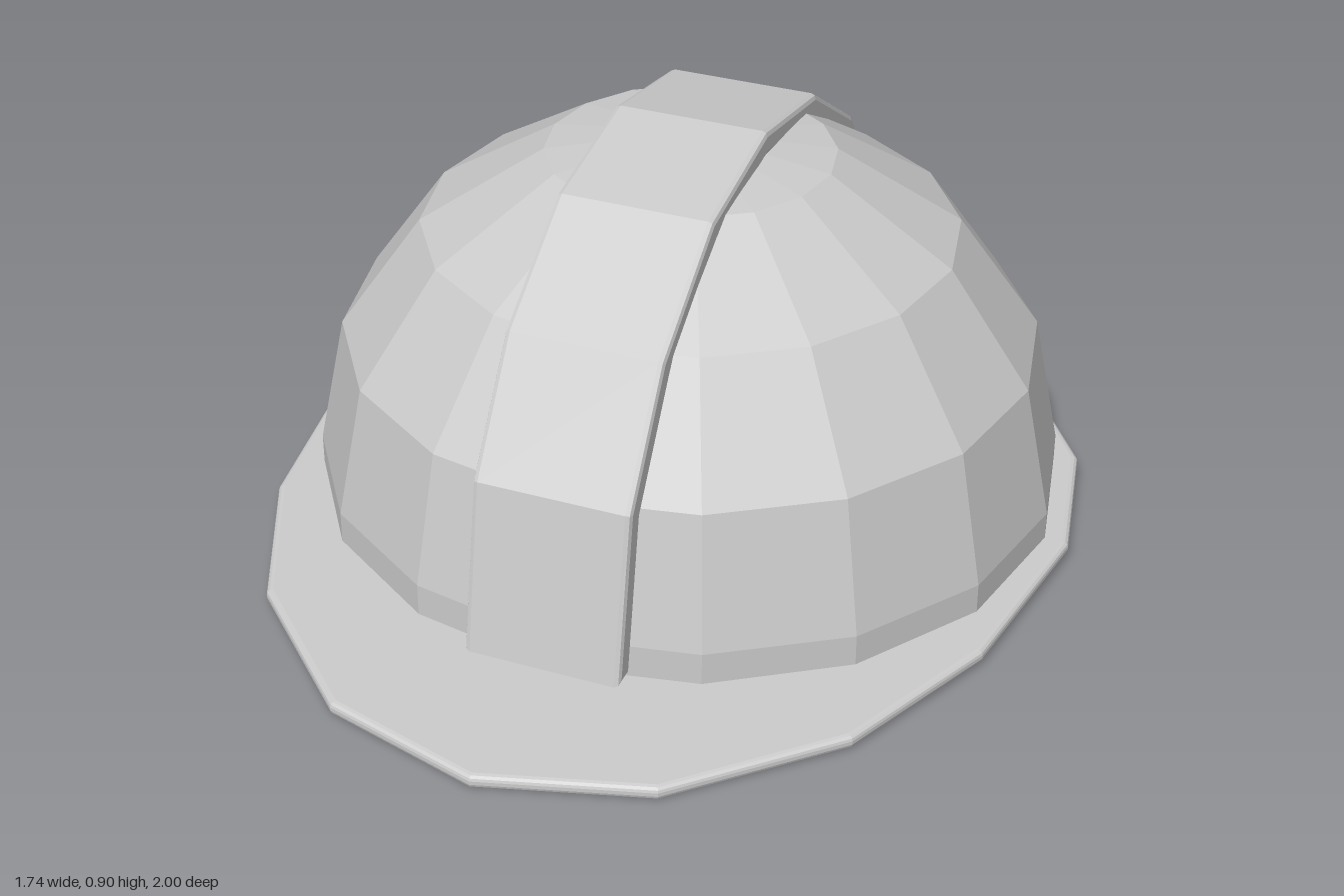
import * as THREE from 'three';

const CENTER_Z = -0.155;
const mat = new THREE.MeshStandardMaterial({ color: 0xcccccc, flatShading: true, side: THREE.DoubleSide });

function addMesh(group, name, geometry) {
  const mesh = new THREE.Mesh(geometry, mat);
  mesh.name = name;
  group.add(mesh);
  return mesh;
}

const toPoints = (list) => list.map(([a, b]) => new THREE.Vector2(a, b));

// Faceted dome: 16 sides, slightly narrower front to back than side to side
function domeGeometry() {
  const profile = toPoints([[0.818, 0.035], [0.818, 0.11], [0.757, 0.405], [0.578, 0.657], [0.31, 0.826], [0, 0.868]]);
  return new THREE.LatheGeometry(profile, 16).scale(1, 1, 0.967).translate(0, 0, CENTER_Z);
}

// Raised band over the crown, an arch extruded across x with softened edges
function ridgeGeometry() {
  const half = [[0.815, 0.045], [0.748, 0.415], [0.575, 0.667], [0.31, 0.842]];
  const outer = [...half, [0, 0.897], ...half.map(([z, y]) => [-z, y]).reverse()];
  const inner = outer.map(([z, y]) => [z * 0.93, y > 0.1 ? y * 0.937 : y]).reverse();
  const shape = new THREE.Shape(toPoints([...outer, ...inner]));
  const bevel = 0.012;
  const geometry = new THREE.ExtrudeGeometry(shape, {
    depth: 0.34 - 2 * bevel, bevelThickness: bevel, bevelSize: bevel, bevelOffset: -bevel, bevelSegments: 2,
  });
  // Shape x runs toward +z, extrusion runs along -x
  return geometry.translate(0, 0, bevel - 0.17).rotateY(-Math.PI / 2).translate(0, 0, CENTER_Z);
}

// Brim: narrow behind, long peak in front, tipped slightly down toward the front
function brimGeometry() {
  const side = [[0.34, -0.94], [0.615, -0.755], [0.805, -0.48], [0.87, -0.155], [0.805, 0.27], [0.645, 0.62], [0.35, 0.9]];
  const outline = [[0, -1], ...side, [0, 1], ...side.map(([x, z]) => [-x, z]).reverse()];
  const shape = new THREE.Shape(toPoints(outline.map(([x, z]) => [x, -z])));

  const opening = [];
  for (let i = 0; i < 16; i++) {
    const a = (i / 16) * Math.PI * 2;
    opening.push([0.802 * Math.sin(a), 0.775 * Math.cos(a) - CENTER_Z]);
  }
  shape.holes.push(new THREE.Path(toPoints(opening)));

  const geometry = new THREE.ExtrudeGeometry(shape, {
    depth: 0.008, bevelThickness: 0.011, bevelSize: 0.014, bevelOffset: -0.014, bevelSegments: 3,
  });
  geometry.translate(0, 0, -0.004).rotateX(-Math.PI / 2);
  const p = geometry.attributes.position;
  for (let i = 0; i < p.count; i++) p.setY(i, p.getY(i) + 0.031 - 0.0145 * p.getZ(i));
  geometry.computeVertexNormals();
  return geometry;
}

export function createModel() {
  const group = new THREE.Group();
  group.name = 'hardHat';
  addMesh(group, 'dome', domeGeometry());
  addMesh(group, 'crownRidge', ridgeGeometry());
  addMesh(group, 'brim', brimGeometry());
  return group;
}
